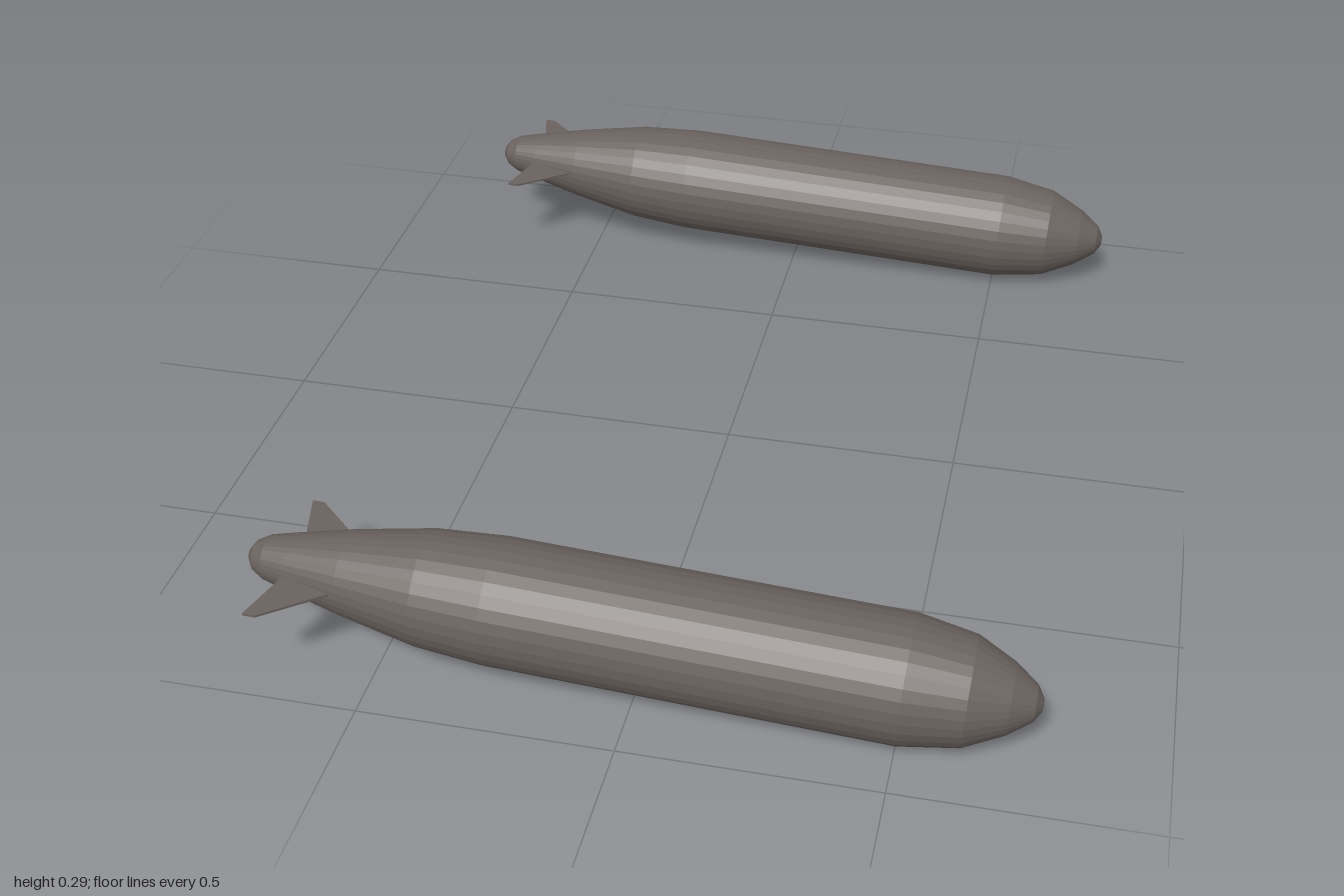
import * as THREE from 'three';

// Hull radius by station along the axis, tail to nose
const HULL = [
  [-0.759, 0], [-0.757, 0.012], [-0.745, 0.03], [-0.721, 0.044], [-0.67, 0.057], [-0.56, 0.083],
  [-0.405, 0.113], [-0.27, 0.123], [0.51, 0.123], [0.625, 0.104],
  [0.7, 0.067], [0.745, 0.034], [0.758, 0.012], [0.759, 0],
];
// Fin outline: station along the axis, distance from the axis
const FIN = [[-0.53, 0.046], [-0.676, 0.172], [-0.7, 0.172], [-0.665, 0.04]];
const FIN_THICKNESS = 0.005;

function makeFin(side, material) {
  const shape = new THREE.Shape(FIN.map(([x, r]) => new THREE.Vector2(x, r * side)));
  const geometry = new THREE.ExtrudeGeometry(shape, { depth: FIN_THICKNESS, bevelEnabled: false });
  geometry.rotateX(Math.PI / 2).translate(0, 0.008 + FIN_THICKNESS / 2, 0);
  const fin = new THREE.Mesh(geometry, material);
  fin.name = side > 0 ? 'leftFin' : 'rightFin';
  return fin;
}

function makeTank(side, material) {
  const tank = new THREE.Group();
  tank.name = side > 0 ? 'frontTank' : 'backTank';

  // Faceted hull, turned so its nose points along +x
  const profile = HULL.map(([s, r]) => new THREE.Vector2(r, s));
  const hull = new THREE.Mesh(new THREE.LatheGeometry(profile, 32).rotateZ(-Math.PI / 2), material);
  hull.name = 'hull';
  tank.add(hull, makeFin(1, material), makeFin(-1, material));

  // Nose droops and turns slightly outward
  tank.rotation.set(0, -0.0065 * side, -0.055);
  tank.position.set(0, 0.158, 0.827 * side);
  return tank;
}

export function createModel() {
  const model = new THREE.Group();
  model.name = 'tankPair';
  const material = new THREE.MeshStandardMaterial({ color: 0x6a625e, flatShading: true });
  material.name = 'warmGrey';
  for (const side of [1, -1]) model.add(makeTank(side, material));
  return model;
}
